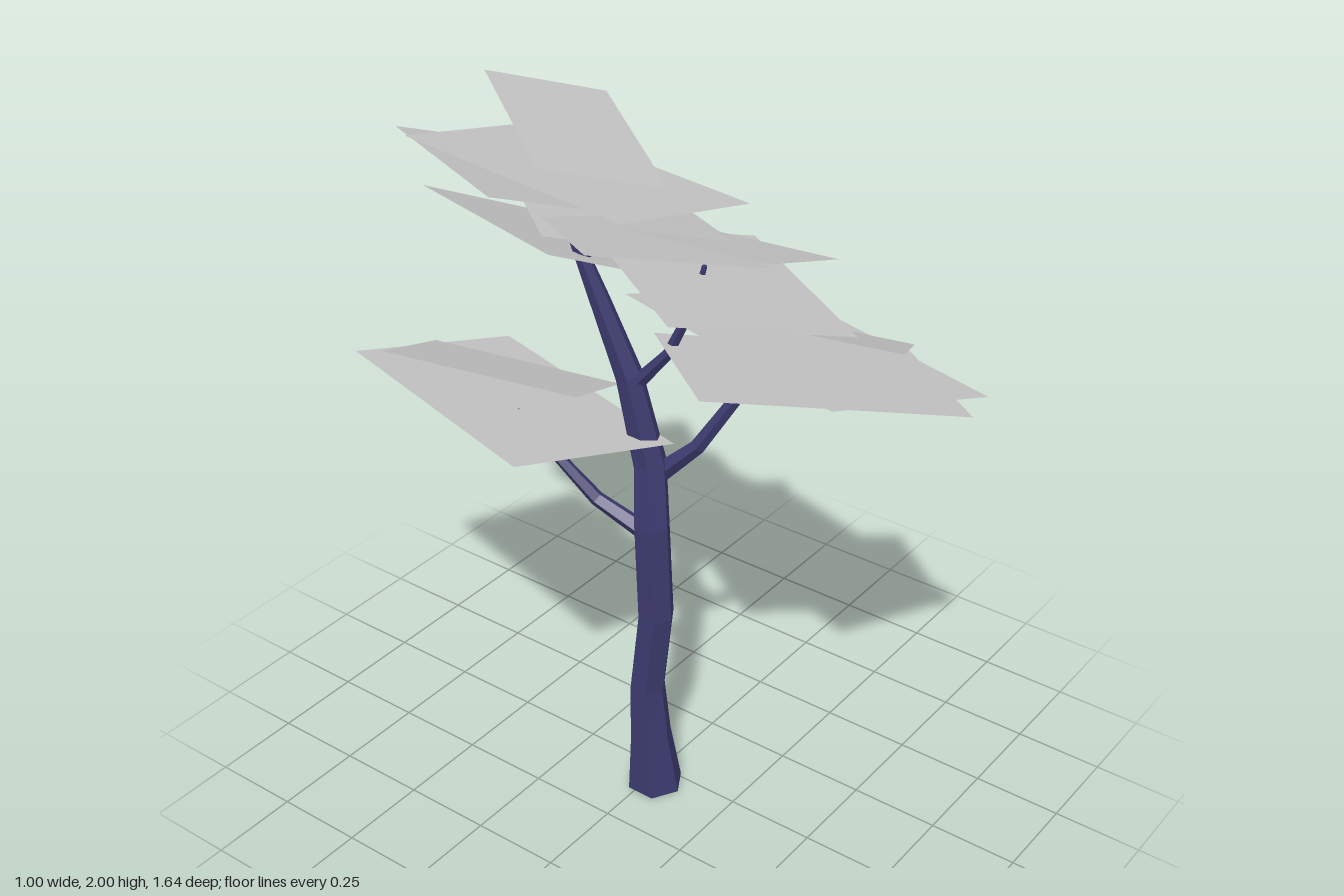
import * as THREE from 'three';

const bark = new THREE.MeshStandardMaterial({ name: 'indigo bark', color: 0x3c3a6e, flatShading: true });
const leaf = new THREE.MeshStandardMaterial({ name: 'pale grey foliage', color: 0xc6c6c6, side: THREE.DoubleSide, flatShading: true });

// Faceted limb: a cylinder whose rows follow [x, y, z, radius] stations
function limb(name, stations, sides) {
  const rows = stations.length - 1;
  const geo = new THREE.CylinderGeometry(1, 1, 1, sides, rows);
  const pts = stations.map(([x, y, z]) => new THREE.Vector3(x, y, z));
  const up = new THREE.Vector3(0, 1, 0);
  const turns = pts.map((p, i) => {
    const dir = pts[Math.min(i + 1, rows)].clone().sub(pts[Math.max(i - 1, 0)]).normalize();
    if (i === 0 && p.y === 0) dir.copy(up);
    return new THREE.Quaternion().setFromUnitVectors(up, dir);
  });
  const pos = geo.attributes.position;
  const v = new THREE.Vector3();
  for (let i = 0; i < pos.count; i++) {
    const row = Math.round((pos.getY(i) + 0.5) * rows);
    v.set(pos.getX(i), 0, pos.getZ(i)).multiplyScalar(stations[row][3]);
    v.applyQuaternion(turns[row]).add(pts[row]);
    pos.setXYZ(i, v.x, v.y, v.z);
  }
  geo.computeVertexNormals();
  const mesh = new THREE.Mesh(geo, bark);
  mesh.name = name;
  return mesh;
}

// Flat leaf sheet from three consecutive corners; the fourth completes the parallelogram
function leafSheet(a, b, c) {
  const d = a.map((n, i) => n + c[i] - b[i]);
  const geo = new THREE.BufferGeometry();
  geo.setAttribute('position', new THREE.Float32BufferAttribute([...a, ...b, ...c, ...d], 3));
  geo.setIndex([0, 2, 1, 0, 3, 2]);
  geo.computeVertexNormals();
  const mesh = new THREE.Mesh(geo, leaf);
  mesh.name = 'leafSheet';
  return mesh;
}

export function createModel() {
  const tree = new THREE.Group();
  tree.name = 'tree';

  // Trunk, flared at the foot and leaning back toward its tip
  tree.add(limb('trunk', [
    [-0.057, 0, 0.02, 0.08], [-0.07, 0.18, 0.015, 0.06], [-0.077, 0.35, 0.01, 0.051],
    [-0.075, 0.6, 0.038, 0.051], [-0.075, 0.88, 0.025, 0.05], [-0.055, 1.05, 0.005, 0.046],
    [-0.07, 1.3, -0.05, 0.037], [-0.095, 1.5, -0.12, 0.027], [-0.122, 1.68, -0.18, 0.016],
  ], 6));

  // Branches
  tree.add(limb('frontBranch', [
    [-0.04, 1.0, 0.0, 0.03], [-0.005, 1.12, 0.12, 0.021], [0.05, 1.28, 0.21, 0.017],
    [0.1, 1.39, 0.25, 0.014], [0.155, 1.477, 0.33, 0.008],
  ], 5));
  tree.add(limb('backBranch', [
    [-0.085, 0.86, 0.0, 0.026], [-0.11, 0.92, -0.13, 0.021],
    [-0.15, 1.05, -0.25, 0.015], [-0.21, 1.17, -0.31, 0.009],
  ], 5));
  tree.add(limb('backTwig', [[-0.147, 1.04, -0.24, 0.011], [-0.12, 1.14, -0.27, 0.007]], 5));
  tree.add(limb('upperBranch', [
    [-0.065, 1.27, -0.04, 0.022], [-0.05, 1.39, 0.06, 0.015],
    [-0.045, 1.55, 0.135, 0.011], [-0.04, 1.655, 0.16, 0.007],
  ], 5));

  // Foliage: overlapping tilted sheets, listed from the crown down
  const foliage = new THREE.Group();
  foliage.name = 'foliage';
  const sheets = [
    [[-0.39, 1.97, -0.06], [-0.05, 2.0, -0.51], [0.22, 1.9, -0.34]],
    [[-0.34, 1.87, 0.14], [-0.27, 1.88, -0.585], [0.18, 1.78, -0.54]],
    [[-0.49, 1.92, -0.12], [-0.08, 1.79, -0.8], [0.32, 1.655, -0.525]],
    [[-0.49, 1.855, 0.155], [-0.05, 1.725, -0.5], [0.32, 1.62, -0.25]],
    [[-0.38, 1.8, -0.06], [-0.05, 1.83, -0.51], [0.215, 1.73, -0.34]],
    [[-0.17, 1.79, 0.435], [-0.19, 1.765, -0.04], [0.11, 1.66, -0.045]],
    [[-0.29, 1.7, -0.12], [-0.2, 1.72, -0.6], [0.19, 1.525, -0.51]],
    [[-0.08, 1.625, 0.62], [-0.43, 1.71, 0.34], [0.005, 1.635, -0.245]],
    [[0.2, 1.41, 0.82], [-0.26, 1.53, 0.67], [-0.03, 1.5, -0.09]],
    [[0.05, 1.54, 0.67], [-0.15, 1.59, 0.18], [0.13, 1.455, 0.05]],
    [[0.21, 1.335, 0.78], [-0.315, 1.47, 0.345], [-0.025, 1.415, -0.005]],
    [[-0.22, 1.285, -0.1], [-0.405, 1.34, -0.585], [-0.095, 1.205, -0.69]],
    [[-0.5, 1.23, -0.07], [-0.27, 1.205, -0.82], [0.19, 1.1, -0.68]],
  ];
  for (const corners of sheets) foliage.add(leafSheet(...corners));
  tree.add(foliage);

  return tree;
}
